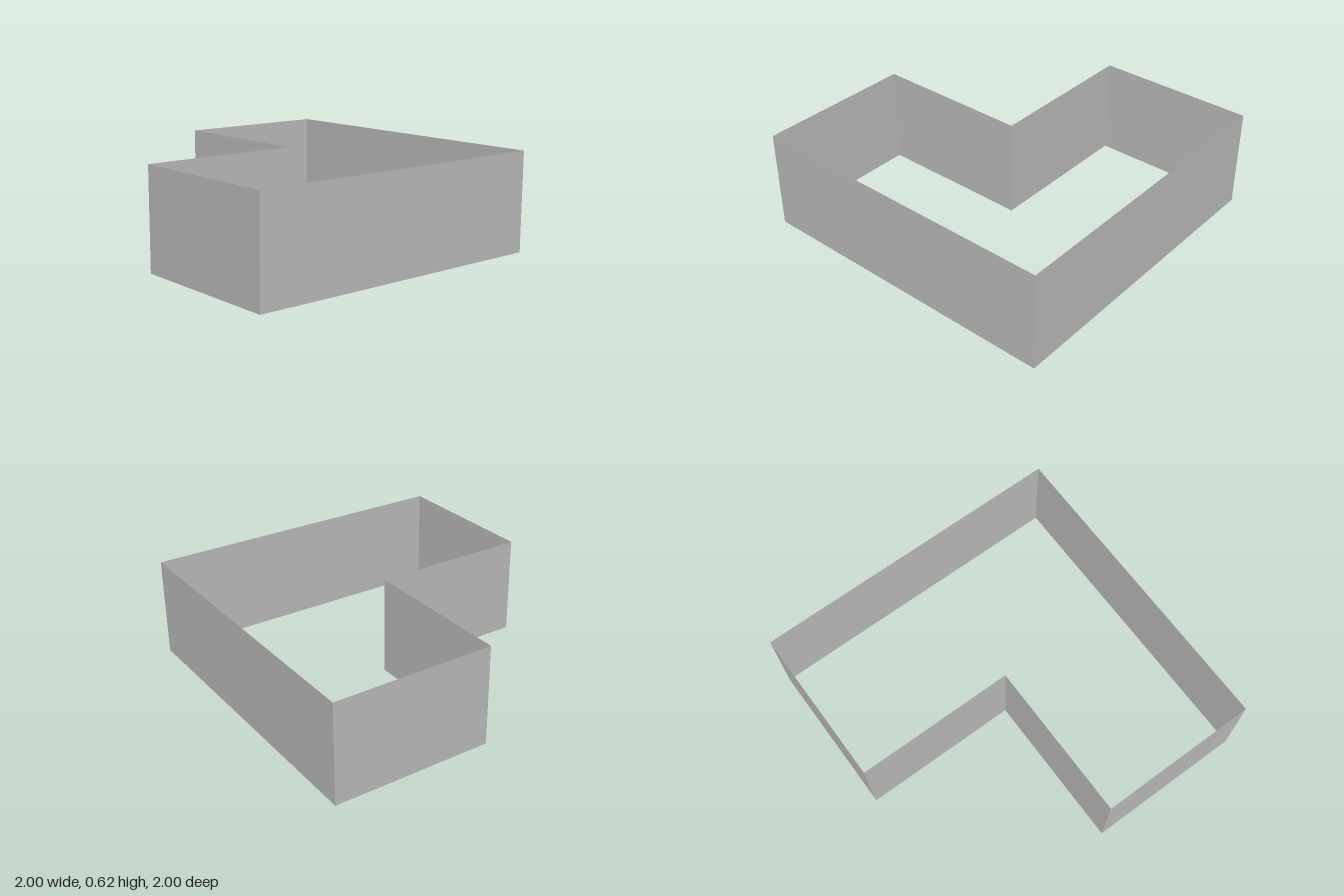
import * as THREE from 'three';

const HEIGHT = 0.625;

// Wall corners of the L-shaped plan, as [x, z], with a name for the wall that starts there
const WALLS = [
  ['frontWall', -1, 1],
  ['rightWall', 1, 1],
  ['backWall', 1, -1],
  ['innerSideWall', 0, -1],
  ['innerBackWall', 0, 0],
  ['leftWall', -1, 0],
];

export function createModel() {
  const model = new THREE.Group();
  model.name = 'lShapedWalls';

  const wallGrey = new THREE.MeshStandardMaterial({ color: 0xb8b8b8, side: THREE.DoubleSide });
  wallGrey.name = 'wallGrey';

  // One thin upright panel between each pair of corners, open at top and bottom
  WALLS.forEach(([name, x0, z0], i) => {
    const [, x1, z1] = WALLS[(i + 1) % WALLS.length];
    const dx = x1 - x0;
    const dz = z1 - z0;
    const wall = new THREE.Mesh(new THREE.PlaneGeometry(Math.hypot(dx, dz), HEIGHT), wallGrey);
    wall.name = name;
    wall.position.set((x0 + x1) / 2, HEIGHT / 2, (z0 + z1) / 2);
    wall.rotation.y = Math.atan2(-dz, dx); // faces outward
    model.add(wall);
  });

  return model;
}
